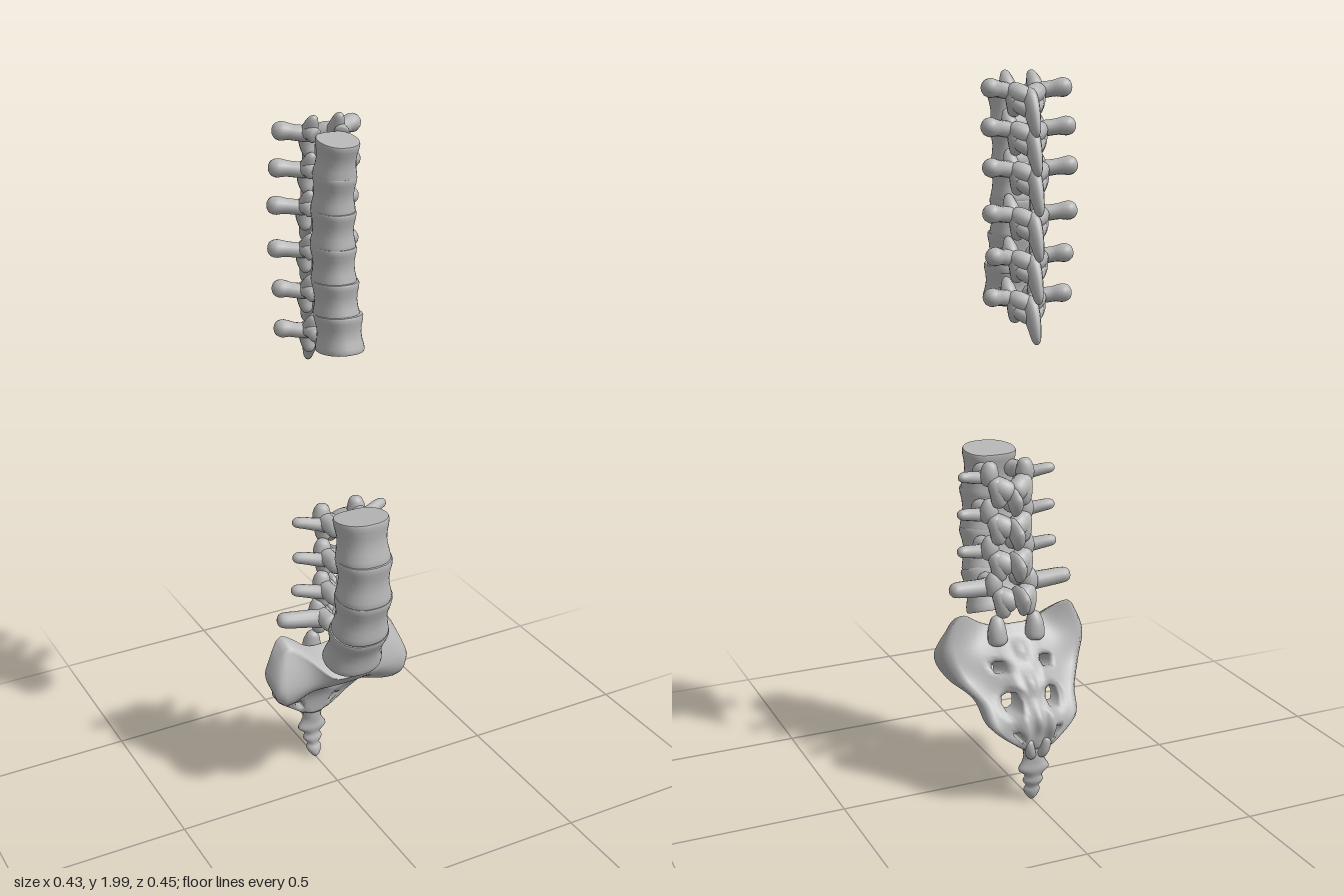
import * as THREE from 'three';

const V = (x, y, z) => new THREE.Vector3(x, y, z);
const bone = new THREE.MeshStandardMaterial({ color: 0xb6b6b6 });
bone.name = 'bone grey';

// Smooth interpolation of every column of a table of rows
function sample(rows, t) {
  return rows[0].map((_, k) =>
    new THREE.SplineCurve(rows.map((r, i) => new THREE.Vector2(i, r[k]))).getPoint(t).y);
}

function makeGeometry(points, index) {
  const g = new THREE.BufferGeometry().setFromPoints(points);
  g.setIndex(index);
  g.computeVertexNormals();
  return g;
}

// Skin a list of rings and close both ends with flat caps
function loft(rings) {
  const pts = rings.flat(), idx = [], n = rings[0].length;
  for (let i = 0; i < rings.length - 1; i++) for (let j = 0; j < n; j++) {
    const a = i * n + j, b = i * n + (j + 1) % n;
    idx.push(a, b, a + n, b, b + n, a + n);
  }
  [rings[0], rings[rings.length - 1]].forEach((ring, end) => {
    const base = pts.length;
    const mid = ring.reduce((s, p) => s.add(p), V(0, 0, 0)).divideScalar(n);
    pts.push(...ring.map(p => p.clone()), mid);
    for (let j = 0; j < n; j++) {
      const a = base + j, b = base + (j + 1) % n;
      if (end) idx.push(base + n, a, b); else idx.push(base + n, b, a);
    }
  });
  return makeGeometry(pts, idx);
}

// Round-ended limb of varying radius along a curve, optionally flattened in x
function limb(points, radii, flat = 1) {
  const curve = new THREE.CatmullRomCurve3(points.map(p => V(...p)));
  const steps = 14, sides = 12, rings = [];
  const frames = curve.computeFrenetFrames(steps);
  for (let k = 0; k <= steps; k++) {
    const t = (1 - Math.cos(Math.PI * k / steps)) / 2;
    const r = sample(radii.map(q => [q]), t)[0] * Math.max(0.05, Math.sqrt(1 - Math.abs(2 * t - 1) ** 7));
    const c = curve.getPoint(t), T = curve.getTangent(t);
    const N = frames.normals[Math.round(t * steps)].clone();
    N.addScaledVector(T, -N.dot(T)).normalize();
    const B = T.clone().cross(N);
    rings.push(Array.from({ length: sides }, (_, j) => {
      const a = j / sides * Math.PI * 2;
      return c.clone().addScaledVector(N, r * Math.cos(a)).addScaledVector(B, r * Math.sin(a));
    }));
  }
  const g = loft(rings);
  g.scale(flat, 1, 1);
  g.computeVertexNormals();
  return g;
}

function add(group, name, geometry) {
  const m = new THREE.Mesh(geometry, bone);
  m.name = name;
  group.add(m);
  return m;
}

// Gently waisted vertebral body with a slightly hollow back
function bodyGeometry(rx, h, rz) {
  const profile = [[-0.5, 0.98], [-0.45, 1.01], [-0.34, 0.99], [-0.18, 0.93], [0, 0.9], [0.18, 0.93], [0.34, 0.99], [0.45, 1.01], [0.5, 0.98]];
  return loft(profile.map(([y, s]) => Array.from({ length: 32 }, (_, j) => {
    const a = j / 32 * Math.PI * 2, sn = -Math.sin(a), c = Math.cos(a);
    const back = sn < 0 ? 1 - 0.16 * sn * sn * (1 - c * c * 0.5) : 1;
    return V(rx * s * Math.sign(c) * Math.abs(c) ** 0.85, y * h, rz * s * sn * back);
  })));
}

// Paired parts of a vertebral arch
function pair(group, name, points, radii) {
  for (const s of [1, -1]) {
    add(group, (s > 0 ? 'left ' : 'right ') + name, limb(points.map(([x, y, z]) => [x * s, y, z]), radii));
  }
}

function thoracicArch(toBody, span) {
  const g = new THREE.Group();
  pair(g, 'pedicle', [[0.036, -0.006, toBody], [0.042, 0, 0.03], [0.042, -0.002, -0.005]], [0.022, 0.018, 0.02]);
  pair(g, 'side bar', [[0.03, -0.008, 0.005], [0.07, -0.002, -0.008], [span - 0.03, 0.002, -0.02], [span, 0.003, -0.03]], [0.024, 0.021, 0.021, 0.025, 0.021]);
  pair(g, 'upper facet', [[0.036, -0.02, -0.005], [0.038, 0.015, 0.018], [0.036, 0.044, 0.038]], [0.022, 0.02, 0.011]);
  pair(g, 'lower facet', [[0.036, 0, -0.01], [0.032, -0.035, -0.014], [0.029, -0.07, -0.004]], [0.02, 0.021, 0.015]);
  pair(g, 'upper lamina', [[0.045, -0.004, -0.004], [0.026, -0.01, -0.02], [-0.002, -0.026, -0.036]], [0.02, 0.025, 0.025]);
  pair(g, 'lower lamina', [[0.036, -0.03, -0.014], [0.02, -0.044, -0.03], [-0.002, -0.058, -0.048]], [0.018, 0.02, 0.02]);
  add(g, 'rear spine', limb([[0, -0.005, -0.018], [0, -0.04, -0.044], [0, -0.078, -0.066], [0, -0.12, -0.082]],
    [0.03, 0.034, 0.03, 0.023, 0.018], 0.62));
  return g;
}

function lumbarArch(toBody, span, drop, reach, thick) {
  const g = new THREE.Group();
  pair(g, 'pedicle', [[0.046, -0.008, toBody], [0.052, -0.004, 0.035], [0.05, -0.004, 0]], [0.028, 0.024, 0.024]);
  pair(g, 'side bar', [[0.04, -0.012, 0.025], [0.08, -0.008, 0.014], [span - 0.03, 0, 0.002], [span, 0.004, -0.006]],
    [0.024, 0.02, 0.018, 0.016].map(r => r * thick));
  pair(g, 'upper facet', [[0.05, -0.03, -0.002], [0.054, 0.005, -0.006], [0.05, 0.04, -0.006]], [0.024, 0.026, 0.018]);
  pair(g, 'lower facet', [[0.045, -0.005, -0.014], [0.038, -0.045, -0.032], [0.036, -0.088, -0.03]], [0.024, 0.025, 0.02]);
  pair(g, 'lamina', [[0.05, -0.016, -0.006], [0.028, -0.034, -0.03], [-0.002, -0.05, -0.042]], [0.025, 0.031, 0.029]);
  add(g, 'rear spine', limb([[0, -0.035, -0.02], [0, drop + 0.02, reach * 0.6], [0, drop, reach]], [0.03, 0.034, 0.038], 0.48));
  return g;
}

// Curved sacral plate, thick in the middle, pierced by paired openings
function sacrumGeometry() {
  // centre z, y, half depth, half width, edge z, y, half depth, facing angle
  const rows = [
    [0.032, 0.45, 0.066, 0.192, -0.02, 0.522, 0.022, -0.48],
    [-0.005, 0.405, 0.064, 0.217, -0.002, 0.415, 0.052, -0.45],
    [-0.06, 0.36, 0.058, 0.19, -0.03, 0.345, 0.05, -0.32],
    [-0.118, 0.31, 0.05, 0.145, -0.105, 0.3, 0.036, -0.12],
    [-0.16, 0.24, 0.04, 0.125, -0.158, 0.235, 0.028, -0.06],
    [-0.163, 0.165, 0.026, 0.045, -0.168, 0.172, 0.018, 0]];
  const NU = 28, NV = 30, length = 0.36, pts = [], idx = [];
  const holes = [[5, 11, 0.01], [6, 19, 0.019], [8, 26, 0.006]]
    .flatMap(([i, j, r]) => [[14 + i, j, r], [14 - i, j, r]]);
  const place = (i, j) => {
    let v = j / NV, x = (i / NU * 2 - 1) * sample(rows, v)[3], thin = 1;
    for (const [hi, hj, R] of holes) {
      const cx = (hi / NU * 2 - 1) * sample(rows, hj / NV)[3], cv = hj / NV;
      const dx = x - cx, ds = (v - cv) * length, r = Math.hypot(dx, ds), r0 = 2.4 * R;
      if (r > 1e-6 && r < r0) {
        const k = (R + r * (1 - R / r0)) / r;
        x = cx + dx * k;
        v = cv + ds * k / length;
        thin = 1 - 0.55 * (1 - r / r0);
      }
    }
    v = Math.min(1, Math.max(0, v));
    const [cz, cy, ct, w, ez, ey, et, ang] = sample(rows, v);
    const u = Math.min(1, Math.abs(x / w)), f = THREE.MathUtils.smoothstep(u, 0.2, 0.9);
    const corner = 0.035 * Math.max(0, (u - 0.8) / 0.2) ** 2 * Math.max(0, 1 - v * 5);
    const t = (et + (ct - et) * Math.exp(-((x / 0.085) ** 4))) * thin * (u > 0.99 ? 0.65 : 1);
    const ridge = 0.022 * Math.exp(-((x / 0.014) ** 2)) * (0.6 + 0.4 * Math.cos(v * 25))
      + 0.024 * v * Math.exp(-(((Math.abs(x) - 0.04) / 0.015) ** 2));
    const z = cz + (ez - cz) * f, y = cy + (ey - cy) * f - corner;
    return [t, -t - ridge * Math.min(1, v * 5, (1 - v) * 6) * (u > 0.99 ? 0 : 1)]
      .map(d => V(x, y + d * Math.sin(ang), z + d * Math.cos(ang)));
  };
  const id = (i, j) => (j * (NU + 1) + i) * 2;
  for (let j = 0; j <= NV; j++) for (let i = 0; i <= NU; i++) pts.push(...place(i, j));
  for (let j = 0; j < NV; j++) for (let i = 0; i < NU; i++) {
    if (holes.some(([hi, hj]) => (i === hi || i === hi - 1) && (j === hj || j === hj - 1))) continue;
    const a = id(i, j), b = id(i + 1, j), c = id(i, j + 1), d = id(i + 1, j + 1);
    idx.push(a, c, b, b, c, d, a + 1, b + 1, c + 1, b + 1, d + 1, c + 1);
  }
  const wall = (loop, inner) => loop.forEach((a, k) => {
    const b = loop[(k + 1) % loop.length];
    if (inner) idx.push(a, a + 1, b, b, a + 1, b + 1);
    else idx.push(a, b, a + 1, b, b + 1, a + 1);
  });
  const border = [];
  for (let i = 0; i < NU; i++) border.push(id(i, 0));
  for (let j = 0; j < NV; j++) border.push(id(NU, j));
  for (let i = NU; i > 0; i--) border.push(id(i, NV));
  for (let j = NV; j > 0; j--) border.push(id(0, j));
  wall(border, false);
  const ring = [[-1, -1], [0, -1], [1, -1], [1, 0], [1, 1], [0, 1], [-1, 1], [-1, 0]];
  for (const [hi, hj] of holes) wall(ring.map(([a, b]) => id(hi + a, hj + b)), true);
  return makeGeometry(pts, idx);
}

export function createModel() {
  const model = new THREE.Group();
  model.name = 'spine sections';
  const addVertebra = (name, height, makeArch, [y, z, tilt, rx, rz, ay, az, ...shape]) => {
    const g = new THREE.Group();
    g.name = name;
    const body = add(g, 'vertebral body', bodyGeometry(rx, height, rz));
    body.position.set(0, y, z);
    body.rotation.x = tilt;
    const arch = makeArch(z - rz * 0.6 - az, ...shape);
    arch.name = 'vertebral arch';
    arch.position.set(0, ay, az);
    g.add(arch);
    model.add(g);
  };

  // body y, z, tilt, half width, half depth, arch y, z, side span
  [[1.891, -0.007, 0.17, 0.054, 0.06, 1.946, -0.09, 0.124],
    [1.802, -0.02, 0.1, 0.054, 0.063, 1.85, -0.102, 0.13],
    [1.708, -0.024, 0.04, 0.055, 0.067, 1.75, -0.113, 0.131],
    [1.613, -0.022, -0.02, 0.056, 0.069, 1.635, -0.113, 0.131],
    [1.522, -0.01, -0.06, 0.058, 0.071, 1.525, -0.11, 0.122],
    [1.436, 0.008, -0.1, 0.061, 0.073, 1.418, -0.098, 0.124],
  ].forEach((row, i) => addVertebra(`upper vertebra ${i + 1}`, 0.099, thoracicArch, row));

  // the same, then spine drop, spine reach, thickness
  [[0.886, 0.14, -0.1, 0.076, 0.072, 0.905, 0.015, 0.145, -0.085, -0.085, 0.9],
    [0.772, 0.151, 0.02, 0.078, 0.073, 0.798, 0.018, 0.147, -0.07, -0.105, 0.95],
    [0.656, 0.14, 0.17, 0.081, 0.073, 0.693, 0.012, 0.15, -0.056, -0.11, 1],
    [0.541, 0.107, 0.36, 0.087, 0.071, 0.594, -0.013, 0.183, -0.045, -0.11, 1.3],
  ].forEach((row, i) => addVertebra(`lower vertebra ${i + 1}`, 0.126, lumbarArch, row));

  // Sacrum with its facets, and the tailbone below
  add(model, 'sacrum', sacrumGeometry());
  pair(model, 'sacral facet', [[0.055, 0.43, -0.05], [0.058, 0.475, -0.05], [0.055, 0.515, -0.042]], [0.03, 0.026, 0.017]);
  pair(model, 'tailbone horn', [[0.012, 0.14, -0.18], [0.022, 0.165, -0.192], [0.028, 0.2, -0.198]], [0.014, 0.015, 0.012]);
  // y, z, half width, half depth
  const tail = [
    [0, -0.15, 0.005, 0.008], [0.012, -0.152, 0.015, 0.019], [0.03, -0.156, 0.024, 0.02], [0.045, -0.16, 0.018, 0.017],
    [0.062, -0.164, 0.03, 0.021], [0.08, -0.167, 0.025, 0.019], [0.1, -0.168, 0.046, 0.023], [0.12, -0.168, 0.036, 0.022],
    [0.14, -0.167, 0.029, 0.023], [0.18, -0.164, 0.036, 0.022]];
  add(model, 'tailbone', loft(Array.from({ length: 37 }, (_, k) => {
    const [y, z, rx, rz] = sample(tail, k / 36);
    return Array.from({ length: 16 }, (_, j) => {
      const a = j / 16 * Math.PI * 2;
      return V(rx * Math.cos(a), y, z - rz * Math.sin(a));
    });
  })));
  return model;
}
